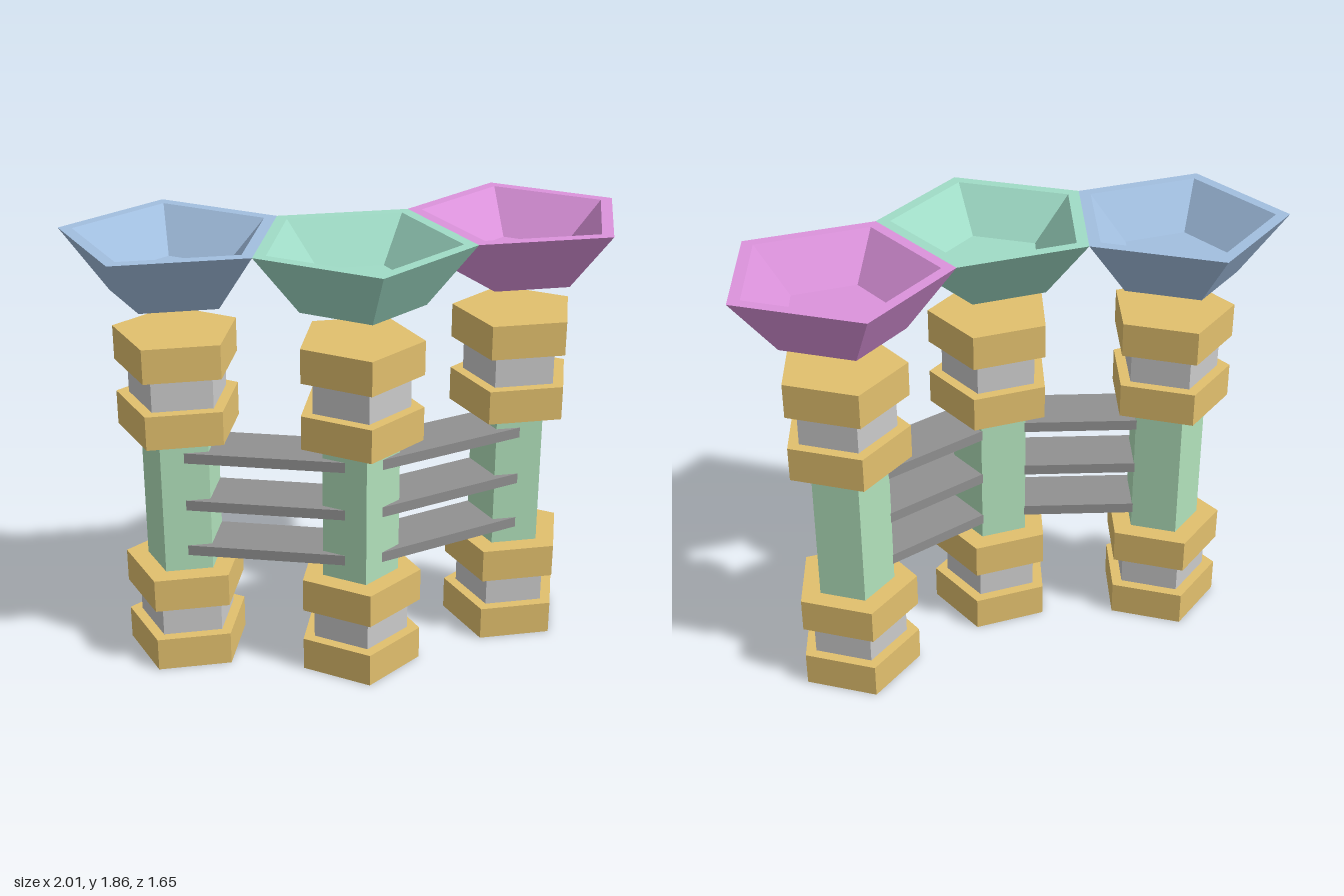
import * as THREE from 'three';

const mat = (color) => new THREE.MeshStandardMaterial({ color, flatShading: true });
const R = 0.457; // rim radius of a bowl
const SPACING = 2 * R * Math.cos(Math.PI / 5); // bowls touch edge to edge

function addMesh(parent, name, geometry, material, y = 0) {
  const mesh = new THREE.Mesh(geometry, material);
  mesh.name = name;
  mesh.position.y = y;
  parent.add(mesh);
  return mesh;
}

export function createModel() {
  const model = new THREE.Group();
  model.name = 'pentagonTowers';
  const gold = mat(0xe2c06e), grey = mat(0xcccccc), green = mat(0xb2e2bc), dark = mat(0x919191);

  // Stacked pentagonal sections: name, radius, bottom, top, material
  const sections = [
    ['foot', 0.263, 0, 0.145, gold],
    ['lowerNeck', 0.21, 0.145, 0.285, grey],
    ['lowerCollar', 0.263, 0.285, 0.43, gold],
    ['shaft', 0.168, 0.43, 1.03, green],
    ['upperCollar', 0.263, 1.03, 1.175, gold],
    ['upperNeck', 0.21, 1.175, 1.315, grey],
    ['cap', 0.263, 1.315, 1.46, gold],
  ];

  // Hollow bowl with a flat rim and floor, floating above its column
  const bowlProfile = [
    [0, 1.61], [0.263, 1.61], [R, 1.86], [0.4, 1.86], [0.227, 1.69], [0, 1.69],
  ].map(([x, y]) => new THREE.Vector2(x, y));
  const bowlGeometry = new THREE.LatheGeometry(bowlProfile, 5);

  // Tower centres, stepping along two directions perpendicular to shared bowl edges
  const angles = [Math.PI / 10, (3 * Math.PI) / 10];
  const centres = [new THREE.Vector3(-0.569, 0, 0.37)];
  for (const a of angles) {
    const step = new THREE.Vector3(Math.cos(a), 0, -Math.sin(a)).multiplyScalar(SPACING);
    centres.push(centres[centres.length - 1].clone().add(step));
  }

  const names = ['rightTower', 'middleTower', 'leftTower'];
  const bowlColors = [0xa2bfe0, 0xa0dcc7, 0xdc93dc];
  centres.forEach((centre, i) => {
    const tower = new THREE.Group();
    tower.name = names[i];
    tower.position.copy(centre);
    tower.rotation.y = i === 1 ? Math.PI : 0; // middle pentagon points backwards
    for (const [name, r, y0, y1, material] of sections) {
      addMesh(tower, name, new THREE.CylinderGeometry(r, r, y1 - y0, 5), material, (y0 + y1) / 2);
    }
    addMesh(tower, 'bowl', bowlGeometry, mat(bowlColors[i]));
    model.add(tower);
  });

  // Three planks bridging each pair of neighbouring shafts
  const plankGeometry = new THREE.BoxGeometry(SPACING, 0.045, 0.23).translate(0, 0, 0.015);
  angles.forEach((angle, i) => {
    const bridge = new THREE.Group();
    bridge.name = i === 0 ? 'rightBridge' : 'leftBridge';
    bridge.position.lerpVectors(centres[i], centres[i + 1], 0.5);
    bridge.rotation.y = angle;
    for (const y of [0.522, 0.732, 0.947]) addMesh(bridge, 'plank', plankGeometry, dark, y);
    model.add(bridge);
  });

  return model;
}
